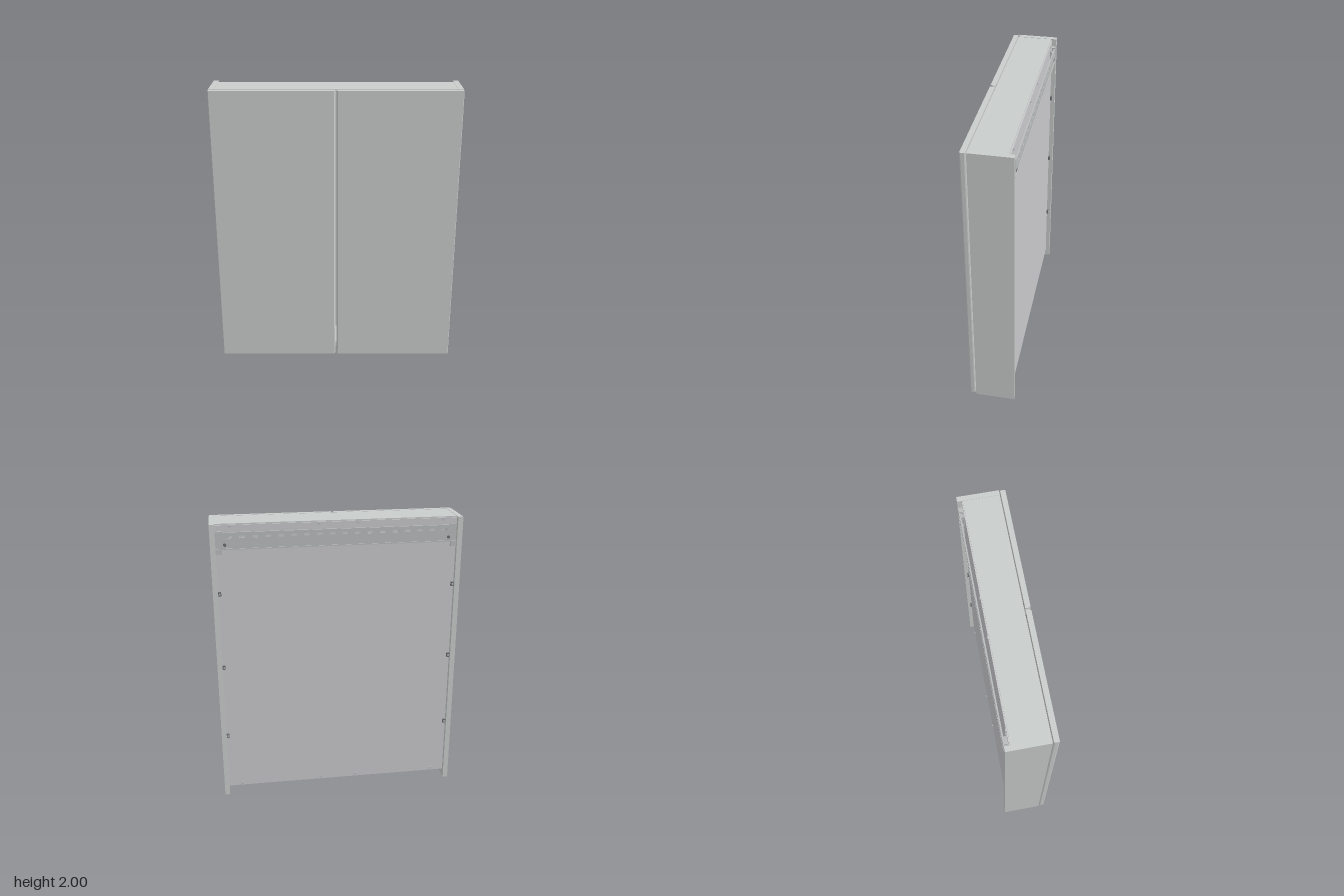
import * as THREE from 'three';

const mat = (name, color) => Object.assign(new THREE.MeshStandardMaterial({ color }), { name });

export function createModel() {
  const body = mat('cabinet grey', 0xc8ccca);
  const panel = mat('back panel grey', 0xc8c8cb);
  const metal = mat('rail metal', 0xb9bbbc);
  const dark = mat('dark fittings', 0x6c6e70);

  const root = new THREE.Group();
  root.name = 'wallCabinet';

  const add = (name, geometry, material, parent = root) => {
    const mesh = new THREE.Mesh(geometry, material);
    mesh.name = name;
    parent.add(mesh);
    return mesh;
  };
  // box given by its limits on each axis
  const box = (name, x0, x1, y0, y1, z0, z1, material, parent) => {
    const g = new THREE.BoxGeometry(x1 - x0, y1 - y0, z1 - z0);
    g.translate((x0 + x1) / 2, (y0 + y1) / 2, (z0 + z1) / 2);
    return add(name, g, material, parent);
  };
  // short round fitting along an axis
  const stud = (name, x, y, z, r, len, axis, material, parent) => {
    const g = new THREE.CylinderGeometry(r, r, len, 12);
    if (axis === 'z') g.rotateX(Math.PI / 2);
    if (axis === 'x') g.rotateZ(Math.PI / 2);
    return add(name, g.translate(x, y, z), material, parent);
  };

  // carcass: top, raised bottom and recessed back
  box('topPanel', -0.805, 0.805, 1.965, 1.998, -0.12, 0.117, body);
  box('bottomPanel', -0.805, 0.805, 0.055, 0.088, -0.12, 0.117, body);
  box('backPanel', -0.81, 0.81, 0.055, 1.99, -0.128, -0.12, panel);

  for (const s of [-1, 1]) {
    const side = s < 0 ? 'right' : 'left';
    const span = (a, b) => (s > 0 ? [a, b] : [-b, -a]);
    box(side + 'SidePanel', ...span(0.805, 0.84), 0, 2, -0.158, 0.117, body);

    // door with bevelled vertical edges
    const profile = [[0.004, 0.124], [0.835, 0.124], [0.838, 0.13], [0.838, 0.152], [0.834, 0.158],
      [0.013, 0.158], [0.004, 0.14]];
    const shape = new THREE.Shape(profile.map(([x, z]) => new THREE.Vector2(s * x, -z)));
    const door = new THREE.ExtrudeGeometry(shape, { depth: 1.988, bevelEnabled: false });
    door.rotateX(-Math.PI / 2).translate(0, 0.01, 0);
    add(side + 'Door', door, body);

    // door bumpers
    for (const y of [0.075, 1.98]) stud('doorBumper', s * 0.04, y, 0.1205, 0.008, 0.007, 'z', dark);

    // clips holding the back panel at the sides
    for (const y of [0.47, 1.0, 1.53]) {
      box('panelClip', ...span(0.785, 0.805), y - 0.015, y + 0.015, -0.14, -0.128, dark);
      stud('clipScrew', s * 0.795, y, -0.142, 0.006, 0.006, 'z', metal);
    }
    // screws along the top and bottom of the back panel
    for (const x of [0.13, 0.71])
      for (const y of [0.072, 1.98]) stud('panelScrew', s * x, y, -0.13, 0.009, 0.006, 'z', metal);

    // hanging bracket at the end of the rail
    const bracket = new THREE.Group();
    bracket.name = side + 'HangingBracket';
    root.add(bracket);
    box('bracketPlate', ...span(0.715, 0.805), 1.835, 1.945, -0.134, -0.128, metal, bracket);
    box('bracketBody', ...span(0.73, 0.79), 1.85, 1.93, -0.147, -0.134, metal, bracket);
    box('bracketHook', ...span(0.755, 0.785), 1.92, 1.955, -0.158, -0.134, metal, bracket);
    box('bracketFoot', ...span(0.765, 0.805), 1.8, 1.835, -0.146, -0.128, metal, bracket);
    for (const y of [1.865, 1.905]) stud('adjusterScrew', s * 0.745, y, -0.15, 0.011, 0.012, 'z', dark, bracket);
  }

  // slotted upper strip of the hanging rail
  const rail = new THREE.Group();
  rail.name = 'hangingRail';
  root.add(rail);
  const strip = new THREE.Shape();
  strip.moveTo(-0.79, 1.89).lineTo(0.79, 1.89).lineTo(0.79, 1.945).lineTo(-0.79, 1.945).closePath();
  for (let i = 0; i < 18; i++) {
    const x = -0.714 + i * 0.084;
    const slot = new THREE.Path();
    slot.absarc(x + 0.012, 1.918, 0.008, -Math.PI / 2, Math.PI / 2, false);
    slot.absarc(x - 0.012, 1.918, 0.008, Math.PI / 2, Math.PI * 1.5, false);
    strip.holes.push(slot);
  }
  const slotted = new THREE.ExtrudeGeometry(strip, { depth: 0.004, bevelEnabled: false, curveSegments: 6 });
  add('slottedStrip', slotted.translate(0, 0, -0.158), metal, rail);
  // folded lips and lower strip
  box('railTopLip', -0.79, 0.79, 1.942, 1.948, -0.158, -0.148, metal, rail);
  box('railStep', -0.79, 0.79, 1.885, 1.891, -0.158, -0.146, metal, rail);
  box('lowerStrip', -0.79, 0.79, 1.84, 1.886, -0.152, -0.147, metal, rail);
  box('railBottomLip', -0.79, 0.79, 1.834, 1.841, -0.158, -0.147, metal, rail);

  return root;
}
